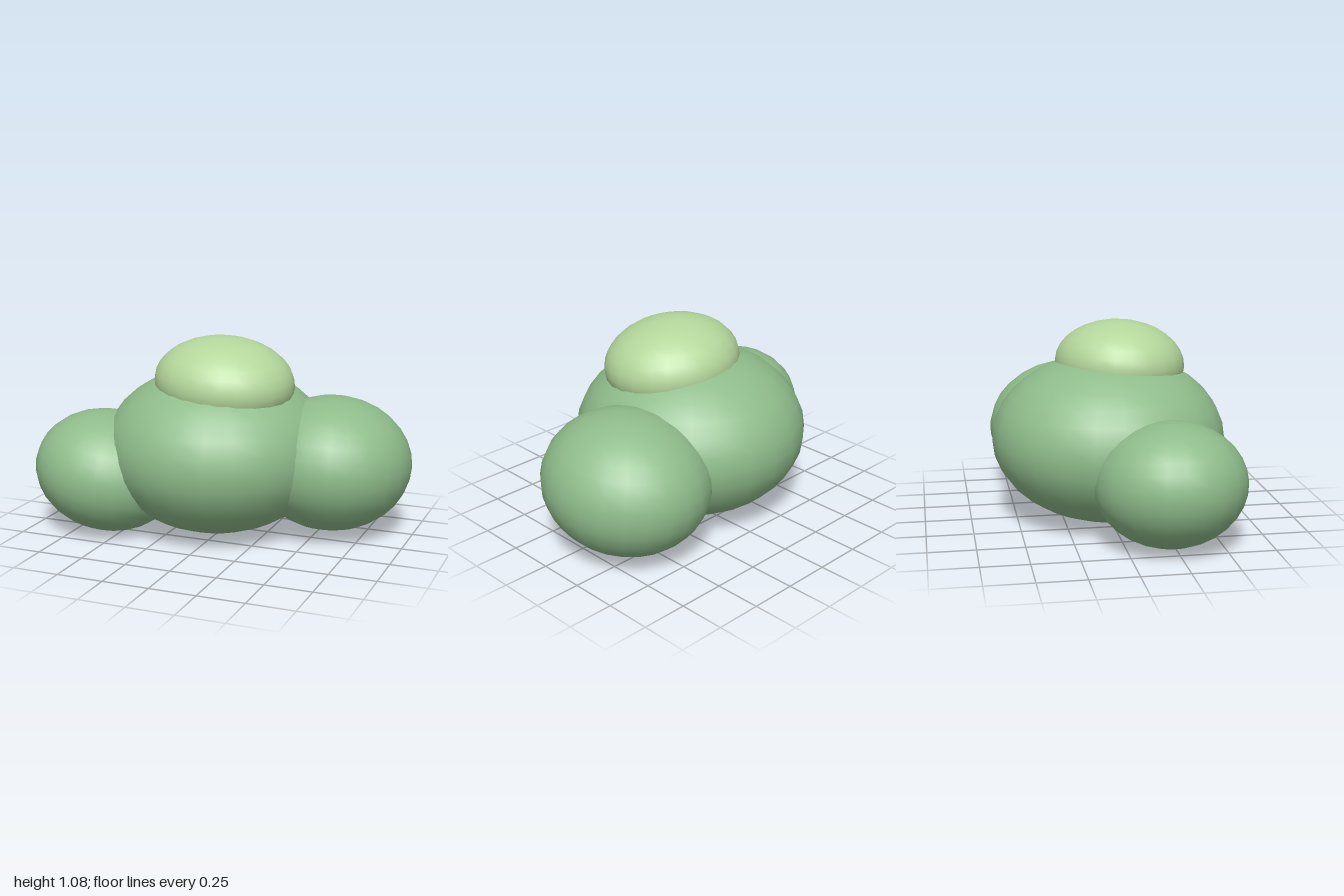
import * as THREE from 'three';

const leafGreen = new THREE.MeshStandardMaterial({ color: 0x8fbc8b });
const paleGreen = new THREE.MeshStandardMaterial({ color: 0xb4d79b });

// A smooth, squashed and slightly tilted ball of foliage
function clump(name, material, centre, radii, tiltX = 0, tiltZ = 0) {
  const mesh = new THREE.Mesh(new THREE.SphereGeometry(1, 24, 16), material);
  mesh.name = name;
  mesh.position.set(...centre);
  mesh.scale.set(...radii);
  mesh.rotation.set(tiltX, 0, tiltZ);
  return mesh;
}

export function createModel() {
  const bush = new THREE.Group();
  bush.name = 'bush';
  bush.add(
    // large middle clump
    clump('mainClump', leafGreen, [-0.045, 0.46, 0], [0.62, 0.455, 0.63]),
    // side clumps, one forward and one back
    clump('rightClump', leafGreen, [-0.6, 0.335, 0.23], [0.404, 0.326, 0.393], 0, -0.22),
    clump('leftClump', leafGreen, [0.563, 0.397, -0.145], [0.433, 0.366, 0.457], -0.1, 0),
    // pale new growth on top
    clump('topClump', paleGreen, [0.024, 0.845, 0.072], [0.38, 0.24, 0.352], 0.06, -0.08),
  );
  return bush;
}
